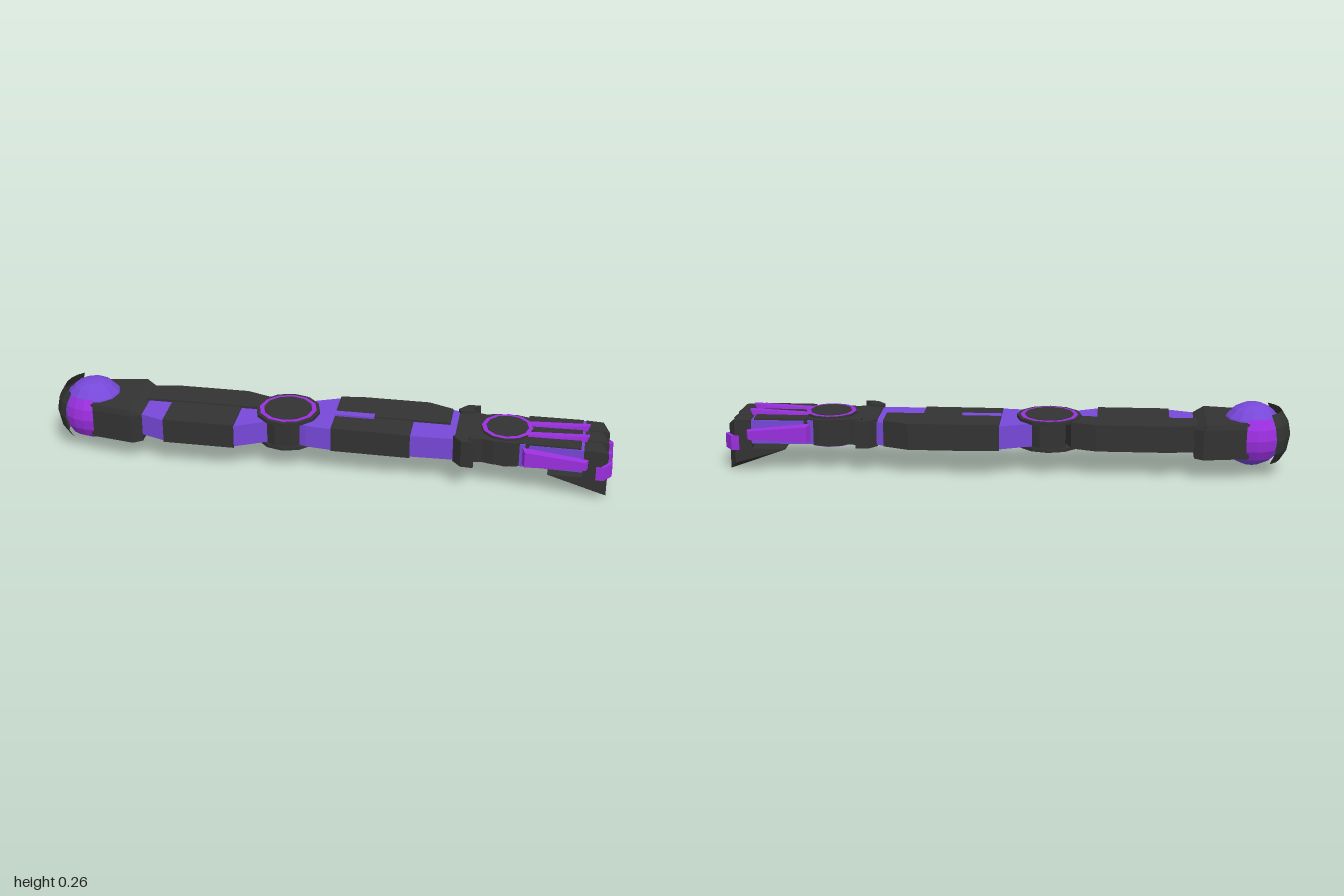
import * as THREE from 'three';
import { ConvexGeometry } from 'three/addons/geometries/ConvexGeometry.js';

const paint = (color) => {
  const m = new THREE.MeshStandardMaterial({ flatShading: true, side: THREE.DoubleSide });
  m.color.set(color);
  return m;
};

export function createModel() {
  const model = new THREE.Group();
  const dark = paint(0x333333), violet = paint(0x7748d8), magenta = paint(0x9b2fe0);

  const add = (name, geometry, material, x = 0, y = 0, z = 0, parent = model) => {
    const mesh = new THREE.Mesh(geometry, material);
    mesh.name = name;
    mesh.position.set(x, y, z);
    parent.add(mesh);
    return mesh;
  };

  // Plate with an outline in plan, given as [x, z] corners, from y0 up to y1
  const slab = (name, outline, y0, y1, material, parent = model) => {
    const shape = new THREE.Shape(outline.map(([x, z]) => new THREE.Vector2(x, -z)));
    const g = new THREE.ExtrudeGeometry(shape, { depth: y1 - y0, bevelEnabled: false });
    g.rotateX(-Math.PI / 2);
    return add(name, g, material, 0, y0, 0, parent);
  };
  // Same, with the half outline mirrored across z = 0
  const mirrored = (name, half, y0, y1, material, parent = model) =>
    slab(name, [...half, ...half.map(([x, z]) => [x, -z]).reverse()], y0, y1, material, parent);
  const hull = (name, points, material, parent) =>
    add(name, new ConvexGeometry(points.map((p) => new THREE.Vector3(...p))), material, 0, 0, 0, parent);

  // Shoulder: ball, wrapped end cap, side patches and socket block
  const sx = -0.865, sy = 0.145;
  add('shoulderBall', new THREE.SphereGeometry(0.113, 12, 10), violet, sx, sy);
  add('shoulderCap', new THREE.SphereGeometry(0.135, 6, 4, -0.3 * Math.PI, 0.6 * Math.PI,
    0.27 * Math.PI, 0.46 * Math.PI), dark, sx, sy);
  for (const s of [1, -1]) {
    const start = s > 0 ? 0.27 : -0.57;
    add('shoulderPatch', new THREE.SphereGeometry(0.119, 3, 4, start * Math.PI, 0.3 * Math.PI,
      0.29 * Math.PI, 0.42 * Math.PI), magenta, sx, sy);
  }
  mirrored('shoulderSocket', [[-0.85, 0.105], [-0.7, 0.13], [-0.69, 0.13], [-0.66, 0.11]], 0.08, 0.186, dark);
  hull('shoulderSocketTop', [1, -1].flatMap((s) => [
    [-0.85, 0.186, 0.105 * s], [-0.7, 0.186, 0.13 * s], [-0.66, 0.186, 0.11 * s],
    [-0.85, 0.206, 0.1 * s], [-0.7, 0.206, 0.125 * s]]), dark, model);

  // Upper arm: raised back half and banded front half
  slab('upperArmBack', [[-0.67, 0], [-0.67, -0.1], [-0.57, -0.115], [-0.32, -0.115], [-0.23, -0.085], [-0.2, 0]],
    0.1, 0.195, dark);
  slab('upperArmBandShoulder', [[-0.67, 0], [-0.67, 0.105], [-0.575, 0.138], [-0.575, 0]], 0.105, 0.186, violet);
  slab('upperArmFront', [[-0.575, 0], [-0.575, 0.14], [-0.32, 0.14], [-0.32, 0]], 0.1, 0.19, dark);
  slab('upperArmBandElbow', [[-0.32, 0], [-0.32, 0.138], [-0.21, 0.085], [-0.21, 0]], 0.105, 0.186, violet);

  // Round joints: hub, caps above and below, coloured rings
  const joint = (name, x, r, ringOuter) => {
    const g = new THREE.Group();
    g.name = name;
    model.add(g);
    for (const s of [1, -1]) {
      add('cap', new THREE.CylinderGeometry(r, r, 0.012, 12), dark, x, 0.145 + s * 0.048, 0, g);
      const ring = add('ring', new THREE.RingGeometry(ringOuter - 0.016, ringOuter, 12), magenta,
        x, 0.145 + s * 0.0555, 0, g);
      ring.rotation.x = -s * Math.PI / 2;
      add('disc', new THREE.CylinderGeometry(ringOuter - 0.016, ringOuter - 0.016, 0.015, 12), dark,
        x, 0.145 + s * 0.05, 0, g);
    }
  };
  joint('elbow', -0.15, 0.115, 0.103);
  mirrored('elbowHub', [[-0.21, 0.085], [-0.18, 0.104], [-0.12, 0.104], [-0.09, 0.085]], 0.095, 0.195, dark);

  // Forearm
  mirrored('forearmBandElbow', [[-0.1, 0.085], [-0.07, 0.095], [0.02, 0.105]], 0.105, 0.188, violet);
  slab('forearmBandBack', [[-0.08, -0.09], [0.02, -0.13], [0.02, 0]], 0.105, 0.188, violet);
  slab('forearmBack', [[0.02, 0], [0.02, -0.13], [0.1, -0.14], [0.34, -0.14], [0.43, -0.105], [0.43, 0]],
    0.1, 0.195, dark);
  slab('forearmBandBackWrist', [[0.43, 0], [0.43, -0.11], [0.475, -0.1], [0.475, 0]], 0.105, 0.188, violet);
  slab('forearmFront', [[0.02, 0], [0.02, 0.103], [0.3, 0.106], [0.3, 0]], 0.1, 0.19, dark);
  slab('forearmBandWrist', [[0.3, 0], [0.3, 0.104], [0.46, 0.1], [0.46, 0]], 0.105, 0.187, violet);
  slab('forearmStrip', [[0.02, -0.018], [0.02, 0.01], [0.16, 0.01], [0.16, -0.018]], 0.15, 0.197, violet);

  // Wrist: flared guard, block and round joint
  for (const s of [1, -1]) {
    slab('wristFin', [[0.45, 0.1 * s], [0.48, 0.135 * s], [0.525, 0.138 * s], [0.5, 0.115 * s], [0.51, 0.09 * s],
      [0.46, 0.08 * s]], 0.1, 0.2, dark);
  }
  mirrored('wristBlock', [[0.455, 0.1], [0.5, 0.1], [0.55, 0.09], [0.59, 0.1], [0.66, 0.103], [0.72, 0.085]],
    0.1, 0.192, dark);
  joint('wrist', 0.63, 0.092, 0.09);

  // Hand: palm, side plates, top ridges and three clawed fingers
  const hand = new THREE.Group();
  hand.name = 'hand';
  model.add(hand);
  mirrored('palm', [[0.68, 0.1], [0.91, 0.108]], 0.102, 0.188, violet, hand);
  for (const s of [1, -1]) {
    hull('sidePlate', [[0.69, 0.177, 0.1 * s], [0.69, 0.112, 0.1 * s], [0.92, 0.155, 0.1 * s], [0.92, 0.12, 0.1 * s],
      [0.7, 0.172, 0.128 * s], [0.7, 0.115, 0.128 * s], [0.91, 0.152, 0.128 * s], [0.91, 0.122, 0.128 * s]],
    magenta, hand);
    hull('topRidge', [[0.7, 0.18, 0.054 * s], [0.7, 0.18, 0.022 * s], [0.9, 0.18, 0.05 * s], [0.9, 0.18, 0.028 * s],
      [0.7, 0.2, 0.05 * s], [0.7, 0.2, 0.026 * s], [0.915, 0.211, 0.046 * s], [0.915, 0.211, 0.03 * s]],
    magenta, hand);
  }
  for (const z of [-0.075, 0, 0.075]) {
    const finger = new THREE.Group();
    finger.name = 'finger';
    finger.position.z = z;
    hand.add(finger);
    const w = 0.034;
    mirrored('fingerTop', [[0.7, 0.026], [0.89, 0.028]], 0.15, 0.194, dark, finger);
    hull('fingerTip', [[0.985, 0.165, 0], [0.985, 0.06, 0], ...[w, -w].flatMap((d) => [
      [0.9, 0.19, d], [0.9, 0.07, d], [0.96, 0.187, d], [0.96, 0.07, d]])], dark, finger);
    hull('claw', [[0.985, 0.085, 0], [0.985, 0, 0], ...[w, -w].flatMap((d) => [
      [0.78, 0.083, d], [0.96, 0.085, d], [0.96, 0.03, d]])], dark, finger);
    mirrored('fingerBand', [[0.945, 0.036], [0.973, 0.036], [1, 0]], 0.078, 0.13, magenta, finger);
  }

  return model;
}
